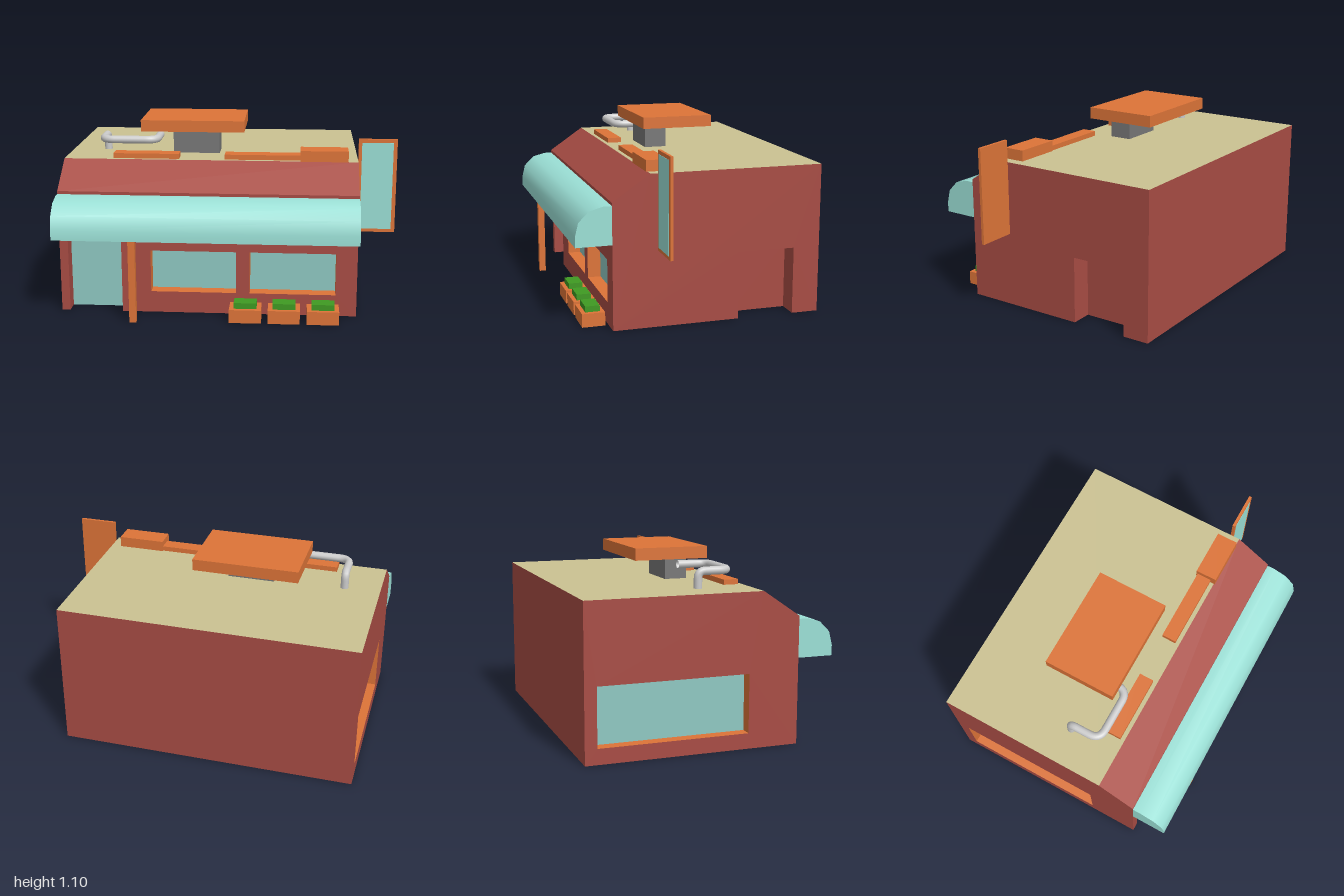
import * as THREE from 'three';
import { toCreasedNormals } from 'three/addons/utils/BufferGeometryUtils.js';

const mat = (color) => new THREE.MeshStandardMaterial({ color, side: THREE.DoubleSide });

export function createModel() {
  const model = new THREE.Group();
  const red = mat(0xa84c44), orange = mat(0xdd7438), teal = mat(0x9be0d6), glass = mat(0x8fc8c2);
  const khaki = mat(0xcbc292), green = mat(0x3f9a22), darkGrey = mat(0x777777), grey = mat(0xcccccc);

  const add = (name, geometry, material, parent = model) => {
    const mesh = new THREE.Mesh(geometry, material);
    mesh.name = name;
    parent.add(mesh);
    return mesh;
  };
  // box given by its limits on each axis
  const box = (name, material, [x0, x1], [y0, y1], [z0, z1]) =>
    add(name, new THREE.BoxGeometry(x1 - x0, y1 - y0, z1 - z0), material)
      .position.set((x0 + x1) / 2, (y0 + y1) / 2, (z0 + z1) / 2);

  const shapeOf = (pts) => new THREE.Shape(pts.map(([x, y]) => new THREE.Vector2(x, y)));
  const rect = (x0, x1, y0, y1) => shapeOf([[x0, y0], [x1, y0], [x1, y1], [x0, y1]]);

  // set-back opening: jambs, head, optional sill, and a back pane
  function recess(parent, name, [x0, x1, y0, y1], depth, lining, pane, sill = true) {
    const g = new THREE.Group();
    g.name = name;
    const w = x1 - x0, h = y1 - y0, xm = (x0 + x1) / 2, ym = (y0 + y1) / 2;
    for (const x of [x0, x1]) {
      const jamb = add('jamb', new THREE.PlaneGeometry(depth, h), lining, g);
      jamb.rotation.y = x === x0 ? Math.PI / 2 : -Math.PI / 2;
      jamb.position.set(x, ym, -depth / 2);
    }
    for (const y of sill ? [y0, y1] : [y1]) {
      const ledge = add(y === y0 ? 'sill' : 'head', new THREE.PlaneGeometry(w, depth), lining, g);
      ledge.rotation.x = y === y0 ? -Math.PI / 2 : Math.PI / 2;
      ledge.position.set(xm, y, -depth / 2);
    }
    add('pane', new THREE.PlaneGeometry(w, h), pane, g).position.set(xm, ym, -depth);
    parent.add(g);
  }

  // wall drawn in its own plane, facing local +z
  function wall(name, outline, holes, position, turn) {
    const g = new THREE.Group();
    g.name = name;
    const shape = shapeOf(outline);
    for (const h of holes) shape.holes.push(rect(...h));
    add(name + 'Surface', new THREE.ShapeGeometry(shape), red, g);
    g.position.set(...position);
    g.rotation.y = turn;
    model.add(g);
    return g;
  }

  const X0 = -1, X1 = 0.77, ZB = -0.73, ZF = 0.52, ZR = 0.30, EAVE = 0.74, TOP = 0.89;

  // front wall with a doorway cut from its lower edge and two windows
  const door = [-0.95, -0.63, 0, 0.465];
  const windows = [[-0.455, 0.055, 0.13, 0.385], [0.135, 0.645, 0.13, 0.385]];
  const front = wall('frontWall', [[X0, 0], [door[0], 0], [door[0], door[3]], [door[1], door[3]],
    [door[1], 0], [X1, 0], [X1, EAVE], [X0, EAVE]], windows, [0, 0, ZF], 0);
  recess(front, 'frontDoor', door, 0.09, red, glass, false);
  windows.forEach((w) => recess(front, 'frontWindow', w, 0.08, orange, glass));

  // right-hand wall (local x runs to -z) with a blind alcove
  const alcove = [0.23, 0.57, 0, 0.4];
  const east = wall('alcoveWall', [[-ZF, 0], [alcove[0], 0], [alcove[0], alcove[3]], [alcove[1], alcove[3]],
    [alcove[1], 0], [-ZB, 0], [-ZB, TOP], [-ZR, TOP], [-ZF, EAVE]], [], [X1, 0, 0], Math.PI / 2);
  recess(east, 'sideAlcove', alcove, 0.13, red, red, false);

  // opposite wall (local x runs to +z) with a wide window
  const wide = [-0.66, 0.22, 0.09, 0.43];
  const west = wall('windowWall', [[ZB, 0], [ZF, 0], [ZF, EAVE], [ZR, TOP], [ZB, TOP]],
    [wide], [X0, 0, 0], -Math.PI / 2);
  recess(west, 'sideWindow', wide, 0.07, orange, glass);

  wall('backWall', [[-X1, 0], [-X0, 0], [-X0, TOP], [-X1, TOP]], [], [0, 0, ZB], Math.PI);

  // flat roof and the sloping front strip
  const xm = (X0 + X1) / 2, len = X1 - X0;
  const roof = add('flatRoof', new THREE.PlaneGeometry(len, ZR - ZB), khaki);
  roof.rotation.x = -Math.PI / 2;
  roof.position.set(xm, TOP, (ZR + ZB) / 2);
  const slope = add('roofSlope', new THREE.PlaneGeometry(len, Math.hypot(ZF - ZR, TOP - EAVE)), red);
  slope.rotation.x = -Math.atan2(ZF - ZR, TOP - EAVE);
  slope.position.set(xm, (TOP + EAVE) / 2, (ZF + ZR) / 2);

  // rounded awning, profile in (z, y)
  const profile = shapeOf([[0.52, 0.5], [0.73, 0.5], [0.73, 0.56], [0.71, 0.64], [0.65, 0.7],
    [0.57, 0.722], [0.52, 0.722]]);
  const awning = add('awning', toCreasedNormals(
    new THREE.ExtrudeGeometry(profile, { depth: len, bevelEnabled: false }), 0.8), teal);
  awning.rotation.y = -Math.PI / 2;
  awning.position.x = X1;
  box('awningPost', orange, [-0.56, -0.52], [0, 0.5], [0.665, 0.705]);

  // planters
  for (const x of [0.115, 0.342, 0.57]) {
    box('planter', orange, [x - 0.094, x + 0.094], [0, 0.08], [0.54, 0.675]);
    box('plant', green, [x - 0.067, x + 0.067], [0.08, 0.115], [0.565, 0.65]);
  }

  // projecting side sign
  box('sideSign', orange, [0.77, 1], [0.45, 1.022], [0.24, 0.257]);
  box('sideSignPanel', teal, [0.79, 0.977], [0.47, 1.0], [0.25, 0.259]);

  // rooftop slabs and stand
  box('roofStand', darkGrey, [-0.36, -0.075], [TOP, 1.03], [-0.045, 0.09]);
  box('roofSlab', orange, [-0.555, 0.08], [1.03, 1.1], [-0.295, 0.143]);
  box('longRoofBlock', orange, [-0.03, 0.425], [TOP, 0.92], [0.187, 0.275]);
  box('shortRoofBlock', orange, [-0.705, -0.307], [TOP, 0.92], [0.187, 0.275]);
  box('tallRoofBlock', orange, [0.425, 0.71], [TOP, 0.955], [0.178, 0.307]);

  // bent roof pipe: straight runs joined by rounded corners
  const pts = [[-0.785, TOP, -0.005], [-0.785, 0.987, -0.005], [-0.785, 0.987, 0.185],
    [-0.453, 0.987, 0.185], [-0.453, 0.987, 0]].map((p) => new THREE.Vector3(...p));
  const path = new THREE.CurvePath();
  let from = pts[0];
  for (let i = 1; i < pts.length - 1; i++) {
    const bend = i === 1 ? 0.04 : 0.07;
    const a = pts[i].clone().add(pts[i - 1].clone().sub(pts[i]).setLength(bend));
    const b = pts[i].clone().add(pts[i + 1].clone().sub(pts[i]).setLength(bend));
    path.add(new THREE.LineCurve3(from, a));
    path.add(new THREE.QuadraticBezierCurve3(a, pts[i], b));
    from = b;
  }
  path.add(new THREE.LineCurve3(from, pts[pts.length - 1]));
  add('roofPipe', new THREE.TubeGeometry(path, 60, 0.024, 12), grey);

  return model;
}
